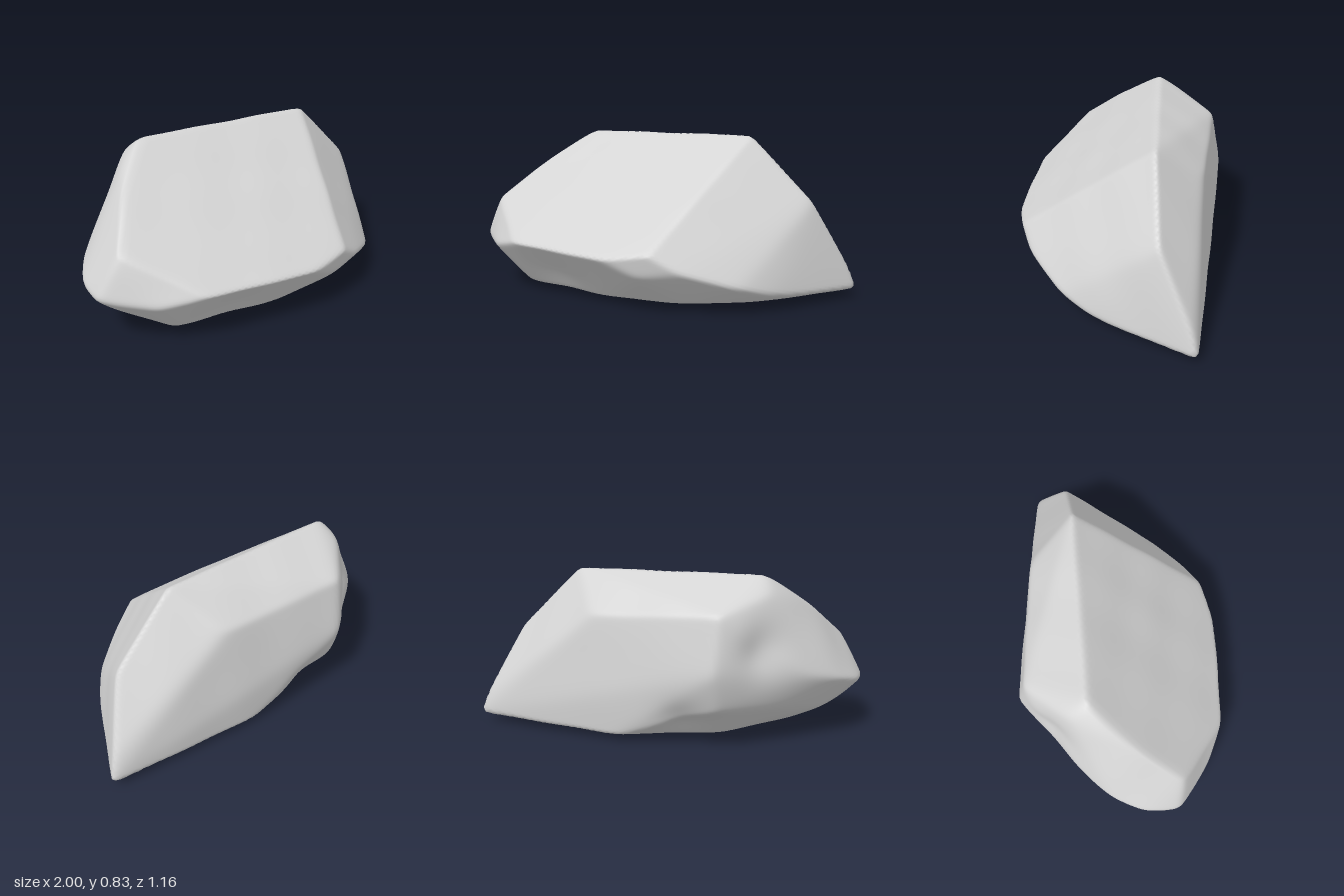
import * as THREE from 'three';
import { mergeVertices } from 'three/addons/utils/BufferGeometryUtils.js';
import { ConvexGeometry } from 'three/addons/geometries/ConvexGeometry.js';

const V = (x, y, z) => new THREE.Vector3(x, y, z);

// Corners of the rough boulder block
const corners = [
  // pointed right end
  V(1.01, 0.05, 0), V(0.97, 0.15, 0.01), V(0.78, 0.5, 0.11),
  // top ridge and the edge behind it
  V(0.46, 0.82, 0.02), V(-0.44, 0.825, -0.31), V(-0.2, 0.67, -0.54), V(0.38, 0.62, -0.26),
  V(-0.45, 0.74, -0.42), V(-0.6, 0.71, -0.3),
  // rounded left end
  V(-0.69, 0.66, -0.19), V(-0.9, 0.47, -0.02), V(-1, 0.26, -0.07), V(-0.95, 0.28, -0.23),
  V(-0.82, 0.32, -0.36), V(-0.86, 0.24, 0.17), V(-0.69, 0.28, 0.33), V(-0.88, 0.16, -0.12),
  V(-0.75, 0.15, -0.27),
  // back bulge
  V(-0.65, 0.36, -0.44), V(-0.17, 0.4, -0.585), V(-0.2, 0.21, -0.535), V(-0.3, 0.6, -0.54),
  V(-0.5, 0.2, -0.42),
  // front rim
  V(-0.45, 0.28, 0.42), V(-0.2, 0.26, 0.55), V(0.03, 0.29, 0.58), V(0.2, 0.21, 0.57),
  V(0, 0.18, 0.56), V(0.45, 0.13, 0.49), V(0.6, 0.09, 0.39), V(0.78, 0.06, 0.22),
  // underside
  V(-0.7, 0.04, 0.1), V(-0.62, 0.045, -0.13), V(-0.2, 0.03, 0.34), V(0.2, 0.03, 0.4),
  V(0.5, 0.04, 0.36), V(0.1, 0, -0.1), V(0.27, 0.04, -0.35), V(-0.25, 0.04, -0.33), V(0.92, 0.04, 0.04),
];

// Shallow hollows: centre, radius, depth
const dents = [
  [V(-0.42, 0.5, -0.5), 0.12, 0.04],
  [V(-0.5, 0.13, 0.3), 0.15, 0.015],
  [V(-0.05, 0.13, -0.46), 0.12, 0.03],
];

// Distinct face planes of the block, measured from its centre,
// set out slightly to allow for the rounding of the edges
function facePlanes(center) {
  const allowance = 1.013;
  const p = new ConvexGeometry(corners).getAttribute('position');
  const planes = [];
  for (let i = 0; i < p.count; i += 3) {
    const [a, b, c] = [0, 1, 2].map((k) => new THREE.Vector3().fromBufferAttribute(p, i + k).sub(center));
    const n = new THREE.Triangle(a, b, c).getNormal(V(0, 0, 0));
    const d = n.dot(a) * allowance;
    if (d > 0.01 && !planes.some((q) => q.n.dot(n) > 0.9995)) planes.push({ n, d });
  }
  return planes;
}

// Dense ball pushed onto the planes, with their edges softly blended
function boulderGeometry() {
  const center = V(0, 0.36, 0);
  const planes = facePlanes(center);
  const ball = new THREE.IcosahedronGeometry(1, 44);
  ball.deleteAttribute('normal');
  ball.deleteAttribute('uv');
  const geo = mergeVertices(ball, 1e-5);
  const pos = geo.getAttribute('position');
  const sharpness = 95;
  const v = V(0, 0, 0);
  for (let i = 0; i < pos.count; i++) {
    const dir = v.fromBufferAttribute(pos, i).multiply(V(1, 0.5, 0.65)).normalize();
    const reach = planes.map((q) => Math.max(0, q.n.dot(dir) / q.d));
    const most = Math.max(...reach);
    const sum = reach.reduce((s, r) => s + Math.pow(r / most, sharpness), 0);
    const radius = 1 / (most * Math.pow(sum, 1 / sharpness));
    const point = dir.clone().multiplyScalar(radius).add(center);
    // gentle weathering
    let inset = 0.003 * Math.sin(11 * point.x + 5 * point.y) * Math.sin(13 * point.z - 7 * point.y + 2 * point.x);
    for (const [c, r, depth] of dents) inset += depth * Math.exp(-point.distanceToSquared(c) / (r * r));
    point.addScaledVector(dir, -inset);
    pos.setXYZ(i, point.x, point.y, point.z);
  }
  // centre it and stand it on the ground
  geo.center();
  geo.computeBoundingBox();
  geo.translate(0, -geo.boundingBox.min.y, 0);
  geo.computeVertexNormals();
  return geo;
}

export function createModel() {
  const group = new THREE.Group();
  group.name = 'rock';
  const stone = new THREE.MeshStandardMaterial({ color: 0xd4d4d4 });
  stone.name = 'grey stone';
  const boulder = new THREE.Mesh(boulderGeometry(), stone);
  boulder.name = 'boulder';
  group.add(boulder);
  return group;
}
